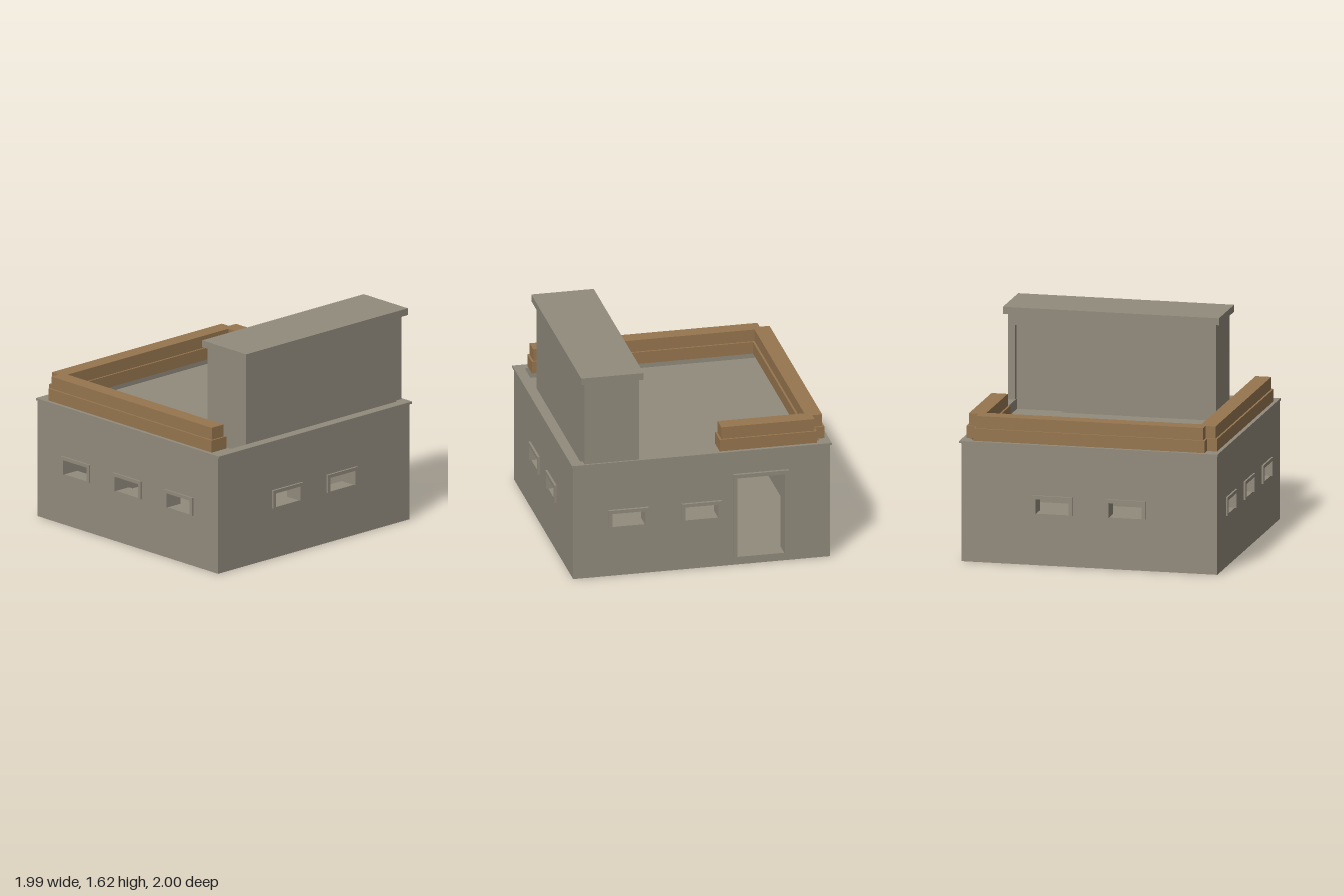
import * as THREE from 'three';

const concrete = new THREE.MeshStandardMaterial({ color: 0x928b7d });
concrete.name = 'concrete';
const timber = new THREE.MeshStandardMaterial({ color: 0x97764f });
timber.name = 'timber';

// Main dimensions: outer faces, wall thickness, sunken roof level, wall top
const X = 0.976, ZF = 0.985, ZB = -0.968, T = 0.13, ROOF = 0.835, H = 0.898;

function add(parent, name, geometry, material) {
  const mesh = new THREE.Mesh(geometry, material);
  mesh.name = name;
  parent.add(mesh);
  return mesh;
}

// Box given by its limits on each axis
function box(parent, name, [x0, x1], [y0, y1], [z0, z1], material = concrete) {
  const g = new THREE.BoxGeometry(x1 - x0, y1 - y0, z1 - z0);
  g.translate((x0 + x1) / 2, (y0 + y1) / 2, (z0 + z1) / 2);
  return add(parent, name, g, material);
}

function rect(Type, u0, u1, v0, v1) {
  return new Type([[u0, v0], [u1, v0], [u1, v1], [u0, v1]].map(p => new THREE.Vector2(...p)));
}

// Flat panel with rectangular holes, extruded along +z
function panel(u0, u1, v0, v1, holes, depth) {
  const shape = rect(THREE.Shape, u0, u1, v0, v1);
  for (const h of holes) shape.holes.push(rect(THREE.Path, h.u0, h.u1, h.v0, h.v1));
  return new THREE.ExtrudeGeometry(shape, { depth, bevelEnabled: false });
}

// Raised surround on the top and both sides of an opening
function surround(parent, h, toBox) {
  const g = new THREE.Group();
  g.name = h.name + 'Surround';
  const w = h.trim;
  toBox(g, 'lintel', [h.u0 - w, h.u1 + w], [h.v1, h.v1 + w]);
  toBox(g, 'jambA', [h.u0 - w, h.u0], [h.v0, h.v1]);
  toBox(g, 'jambB', [h.u1, h.u1 + w], [h.v0, h.v1]);
  parent.add(g);
}

const slit = c => ({ name: 'window', u0: c - 0.126, u1: c + 0.126, v0: 0.391, v1: 0.504, trim: 0.026 });
const door = { name: 'door', u0: -0.63, u1: -0.27, v0: 0.06, v1: 0.7, trim: 0.03 };

export function createModel() {
  const model = new THREE.Group();
  model.name = 'bunker';

  // Front and back walls
  const frontHoles = [slit(-0.557), slit(0), slit(0.557)];
  const backHoles = [door, slit(0), slit(0.557)];
  add(model, 'frontWall', panel(-X, X, 0, ROOF, frontHoles, T), concrete).position.z = ZF - T;
  add(model, 'backWall', panel(-X, X, 0, ROOF, backHoles, T), concrete).position.z = ZB;
  for (const h of frontHoles) surround(model, h, (g, n, u, v) => box(g, n, u, v, [ZF - 0.02, ZF + 0.014]));
  for (const h of backHoles) surround(model, h, (g, n, u, v) => box(g, n, u, v, [ZB - 0.022, ZB + 0.02]));

  // Side walls
  const sideHoles = [slit(0.285), slit(-0.272)];
  for (const s of [1, -1]) {
    const g = panel(ZB + T, ZF - T, 0, ROOF, sideHoles, T).rotateY(-Math.PI / 2);
    add(model, s > 0 ? 'leftWall' : 'rightWall', g, concrete).position.x = s > 0 ? X : T - X;
    const span = s > 0 ? [X - 0.02, X + 0.017] : [-X - 0.017, -X + 0.02];
    for (const h of sideHoles) surround(model, h, (p, n, u, v) => box(p, n, span, v, u));
  }

  // Floor and sunken roof slab
  const inX = [T - X, X - T], inZ = [ZB + T, ZF - T];
  box(model, 'floor', inX, [0, 0.06], inZ);
  box(model, 'roof', inX, [0.77, ROOF], inZ);

  // Parapet rising around the roof, and the wider coping on it
  const well = { u0: -0.91, u1: 0.91, v0: -0.915, v1: 0.91 };
  const parapet = panel(-X, X, -ZF, -ZB, [well], H - ROOF).rotateX(-Math.PI / 2);
  add(model, 'parapet', parapet, concrete).position.y = ROOF;
  const coping = panel(-0.988, 0.988, -0.989, 0.982, [well], 0.017).rotateX(-Math.PI / 2);
  add(model, 'roofCoping', coping, concrete).position.y = H;

  // Rooftop stair house, with a shallow doorway recess in its inner side
  const house = new THREE.Group();
  house.name = 'stairHouse';
  model.add(house);
  const hx0 = 0.475, hx1 = 0.89, hz0 = -0.967, hz1 = 0.62, t = 0.045, hy = [ROOF, 1.568];
  const doorZ = [-0.915, -0.56], face = [hx0, hx0 + t];
  box(house, 'core', [hx0 + t, hx1], hy, [hz0, hz1]);
  box(house, 'innerWall', face, hy, [doorZ[1], hz1]);
  box(house, 'doorPost', face, hy, [hz0, doorZ[0]]);
  box(house, 'doorHead', face, [1.48, hy[1]], doorZ);
  box(house, 'cap', [0.447, 0.922], [hy[1], 1.621], [-1, 0.648]);

  // Timber breastwork on the coping: two courses, the upper slightly narrower
  const bars = [
    ['frontTimber', [-0.882, 0.88], [0.81, 0.96]],
    ['sideTimber', [-0.957, -0.803], [-0.879, 0.884]],
    ['backTimber', [-0.882, -0.143], [-0.953, -0.799]],
  ];
  const courses = [[H + 0.017, 1.008, 0], [1.008, 1.101, 0.015]];
  for (const [name, x, z] of bars) {
    const g = new THREE.Group();
    g.name = name;
    model.add(g);
    for (const [y0, y1, d] of courses)
      box(g, 'course', [x[0] + d, x[1] - d], [y0, y1], [z[0] + d, z[1] - d], timber);
  }
  return model;
}
